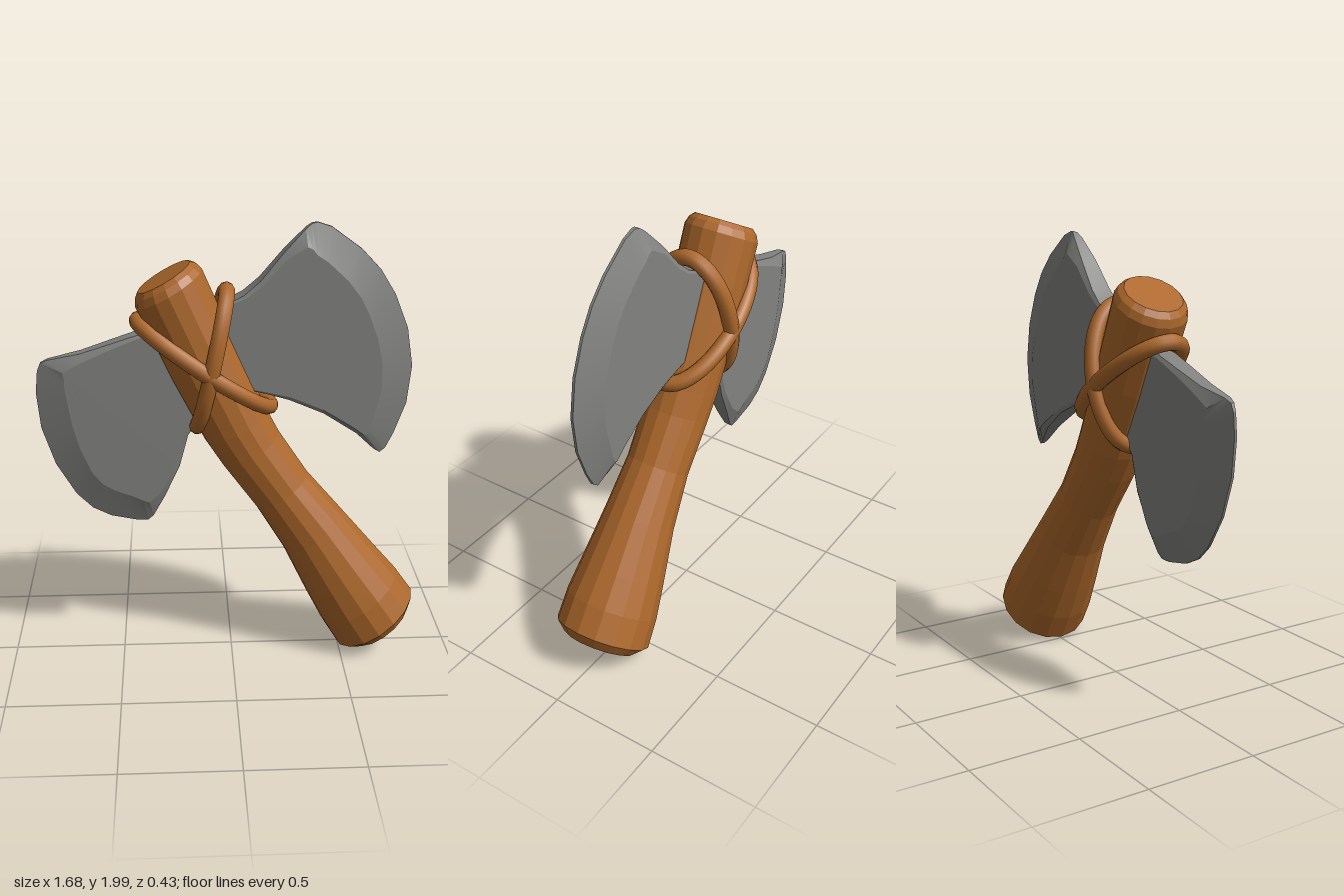
import * as THREE from 'three';
import { toCreasedNormals } from 'three/addons/utils/BufferGeometryUtils.js';

const wood = new THREE.MeshStandardMaterial({ color: 0xad682b });
wood.name = 'wood brown';
wood.flatShading = true;
const cord = new THREE.MeshStandardMaterial({ color: 0xad682b });
cord.name = 'cord brown';
const stone = new THREE.MeshStandardMaterial({ color: 0x828280 });
stone.name = 'stone grey';

function buildGeometry(positions, index) {
  const g = new THREE.BufferGeometry();
  g.setAttribute('position', new THREE.Float32BufferAttribute(positions, 3));
  g.setIndex(index);
  return g;
}

// Joins consecutive closed rings of n points with quads
function stitchRings(rings, n) {
  const index = [];
  for (let k = 0; k < rings - 1; k++) {
    for (let j = 0; j < n; j++) {
      const a = k * n + j, b = k * n + (j + 1) % n;
      index.push(a, b, a + n, b, b + n, a + n);
    }
  }
  return index;
}

// Bent handle: round sections [x, y, radius, axis x, axis y] from top to butt
function createHandle() {
  const sides = 16;
  const sections = [
    [-0.285, 1.775, 0, 0.5, -0.87],
    [-0.285, 1.775, 0.128, 0.5, -0.87],
    [-0.277, 1.755, 0.15, 0.5, -0.87],
    [-0.265, 1.725, 0.163, 0.5, -0.87],
    [-0.12, 1.4, 0.16, 0.43, -0.9],
    [0.02, 1.11, 0.152, 0.45, -0.89],
    [0.085, 1.0, 0.146, 0.52, -0.85],
    [0.225, 0.8, 0.14, 0.58, -0.81],
    [0.37, 0.6, 0.16, 0.58, -0.81],
    [0.5, 0.4, 0.19, 0.57, -0.82],
    [0.59, 0.265, 0.21, 0.58, -0.81],
    [0.665, 0.15, 0.214, 0.59, -0.81],
    [0.693, 0.112, 0.165, 0.6, -0.8],
    [0.693, 0.112, 0, 0.6, -0.8],
  ];
  const positions = [];
  for (const [x, y, r, dx, dy] of sections) {
    for (let j = 0; j < sides; j++) {
      const t = (j / sides) * Math.PI * 2;
      positions.push(x - dy * r * Math.cos(t), y + dx * r * Math.cos(t), r * Math.sin(t));
    }
  }
  return new THREE.Mesh(buildGeometry(positions, stitchRings(sections.length, sides)), wood);
}

// Blade: outline points [x, y, bevel width, rim half thickness];
// the bevel runs from the rim towards the centre up to the flat cheeks
function createBlade(outline, center, half) {
  const flat = outline.map(([x, y]) => new THREE.Vector2(x, y));
  if (THREE.ShapeUtils.isClockWise(flat)) {
    flat.reverse();
    outline = outline.slice().reverse();
  }
  const n = flat.length;
  const inner = flat.map((p, i) => {
    const inward = new THREE.Vector2(...center).sub(p).setLength(outline[i][2]);
    return inward.add(p);
  });
  const positions = [];
  inner.forEach((p) => positions.push(p.x, p.y, -half));
  flat.forEach((p, i) => positions.push(p.x, p.y, -outline[i][3]));
  flat.forEach((p, i) => positions.push(p.x, p.y, outline[i][3]));
  inner.forEach((p) => positions.push(p.x, p.y, half));

  const index = stitchRings(4, n);
  for (const [a, b, c] of THREE.ShapeUtils.triangulateShape(inner, [])) {
    index.push(a + 3 * n, b + 3 * n, c + 3 * n, a, c, b);
  }
  return new THREE.Mesh(toCreasedNormals(buildGeometry(positions, index), 0.3), stone);
}

// Cord loop: an ellipse through two end points, wrapped around the handle
function createCord(x1, y1, x2, y2, depth) {
  const points = [];
  for (let i = 0; i < 28; i++) {
    const t = (i / 28) * Math.PI * 2, c = Math.cos(t) / 2;
    points.push(new THREE.Vector3(
      (x1 + x2) / 2 + (x2 - x1) * c,
      (y1 + y2) / 2 + (y2 - y1) * c,
      depth * Math.sin(t)));
  }
  const path = new THREE.CatmullRomCurve3(points, true);
  return new THREE.Mesh(new THREE.TubeGeometry(path, 56, 0.036, 10, true), cord);
}

export function createModel() {
  const model = new THREE.Group();
  model.name = 'doubleAxe';
  const add = (mesh, name) => {
    mesh.name = name;
    model.add(mesh);
  };

  add(createHandle(), 'handle');

  add(createBlade([
    [-0.12, 1.62, 0.01, 0.05], [0.0, 1.675, 0.01, 0.05], [0.05, 1.7, 0.015, 0.048],
    [0.12, 1.76, 0.02, 0.045], [0.22, 1.88, 0.03, 0.036], [0.31, 1.975, 0.07, 0.02],
    [0.335, 1.995, 0.1, 0.012], [0.36, 2.0, 0.13, 0.008], [0.42, 1.98, 0.14, 0.006],
    [0.55, 1.885, 0.14, 0.006], [0.635, 1.795, 0.14, 0.006], [0.7, 1.69, 0.14, 0.006],
    [0.76, 1.54, 0.14, 0.006], [0.787, 1.37, 0.14, 0.006], [0.77, 1.2, 0.14, 0.006],
    [0.72, 1.06, 0.14, 0.006], [0.685, 0.99, 0.13, 0.008], [0.66, 0.97, 0.12, 0.01],
    [0.63, 0.99, 0.09, 0.015], [0.55, 1.07, 0.04, 0.032], [0.4, 1.17, 0.02, 0.045],
    [0.25, 1.235, 0.015, 0.048], [0.15, 1.265, 0.01, 0.05], [0.0, 1.3, 0.01, 0.05],
  ], [0.35, 1.45], 0.055), 'leftBlade');

  add(createBlade([
    [-0.2, 1.57, 0.01, 0.044], [-0.38, 1.54, 0.015, 0.042], [-0.5, 1.5, 0.02, 0.038],
    [-0.65, 1.45, 0.035, 0.03], [-0.79, 1.42, 0.08, 0.015], [-0.82, 1.405, 0.12, 0.008],
    [-0.835, 1.37, 0.13, 0.006], [-0.845, 1.27, 0.14, 0.006], [-0.83, 1.11, 0.14, 0.006],
    [-0.775, 0.94, 0.14, 0.006], [-0.69, 0.795, 0.14, 0.006], [-0.62, 0.725, 0.14, 0.006],
    [-0.54, 0.685, 0.14, 0.006], [-0.42, 0.66, 0.13, 0.006], [-0.375, 0.662, 0.11, 0.01],
    [-0.35, 0.685, 0.08, 0.015], [-0.3, 0.78, 0.035, 0.03], [-0.23, 0.93, 0.02, 0.04],
    [-0.19, 1.08, 0.015, 0.042], [-0.1, 1.2, 0.01, 0.044],
  ], [-0.45, 1.18], 0.05), 'rightBlade');

  add(createCord(-0.4, 1.588, 0.17, 1.2, 0.168), 'lowSlantCord');
  add(createCord(-0.02, 1.712, -0.152, 1.11, 0.168), 'steepCord');

  return model;
}
